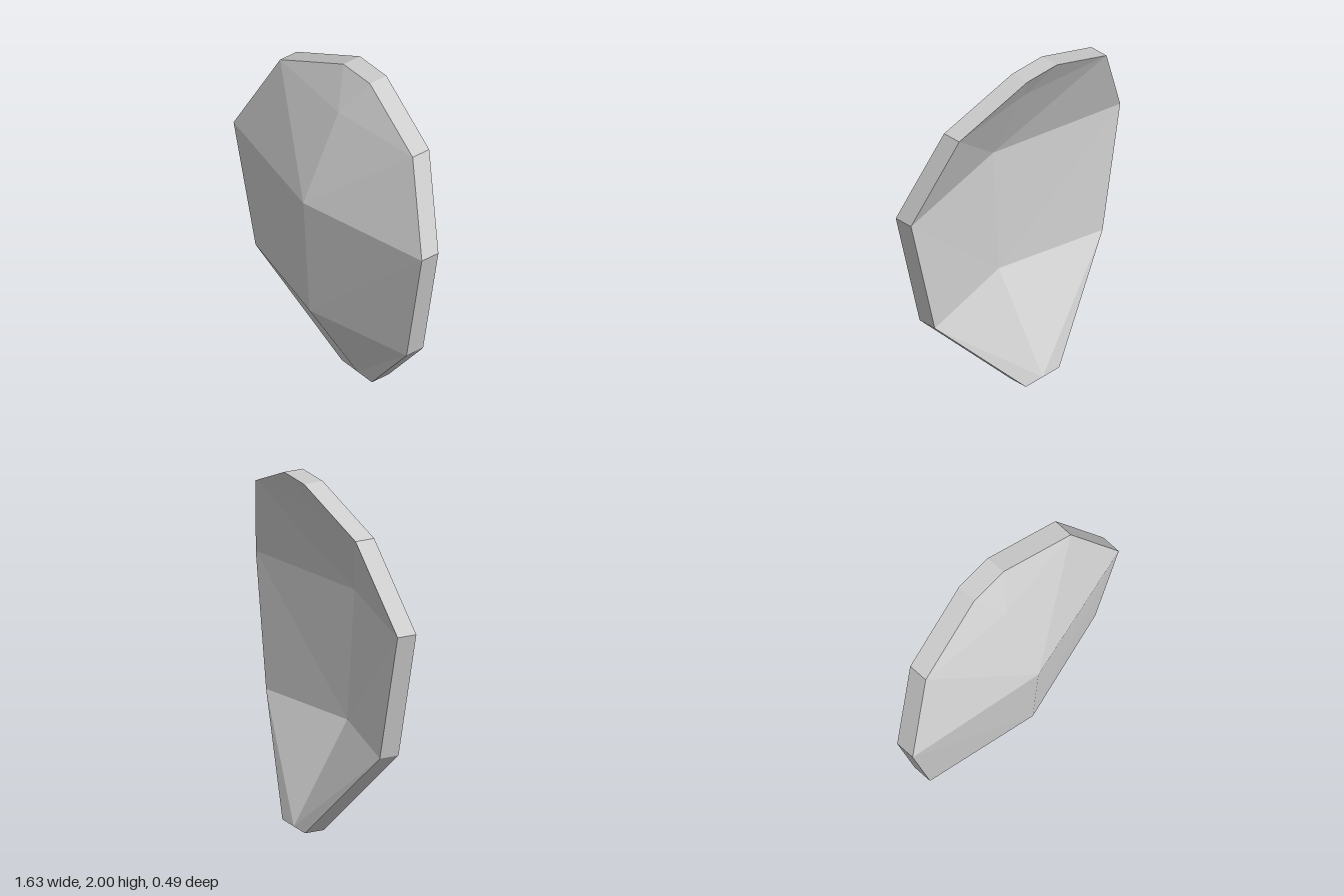
import * as THREE from 'three';

// Rows from bottom to top: height, half width, rim z, centre ridge z
const ROWS = [
  [0, 0.13, -0.13, -0.13],
  [0.56, 0.655, 0.05, 0.2],
  [1.3, 0.817, 0.073, 0.243],
  [1.8, 0.575, -0.057, 0],
  [2, 0.115, -0.128, -0.128],
];
const THICKNESS = 0.115;

// Three points per row: right rim, ridge, left rim
const grid = (dz) => ROWS.map(([y, w, rim, ridge]) =>
  [[-w, y, rim + dz], [0, y, ridge + dz], [w, y, rim + dz]]);

function facetMesh(name, triangles, material) {
  const geometry = new THREE.BufferGeometry();
  geometry.setAttribute('position', new THREE.Float32BufferAttribute(triangles.flat(2), 3));
  geometry.computeVertexNormals();
  const mesh = new THREE.Mesh(geometry, material);
  mesh.name = name;
  return mesh;
}

// Faceted shell surface; each panel splits from the ridge up to the rim
function panels(g) {
  const tris = [];
  for (let i = 0; i < g.length - 1; i++) {
    const [a, b, c] = g[i], [d, e, f] = g[i + 1];
    tris.push([a, b, d], [b, e, d], [b, c, f], [b, f, e]);
  }
  return tris;
}

// Outline, counter-clockwise as seen from the front
const outline = (g) => [
  ...g[0], ...g.slice(1).map((r) => r[2]),
  g[g.length - 1][1], ...g.slice(1).reverse().map((r) => r[0]),
];

export function createModel() {
  const grey = new THREE.MeshStandardMaterial({ color: 0xcccccc });
  grey.name = 'light grey';
  grey.flatShading = true;

  const front = grid(0), back = grid(-THICKNESS);
  const group = new THREE.Group();
  group.name = 'shield';

  // Bulging front and matching hollow back
  group.add(facetMesh('frontFace', panels(front), grey));
  group.add(facetMesh('backFace', panels(back).map(([a, b, c]) => [a, c, b]), grey));

  // Rim joining the two faces
  const f = outline(front), b = outline(back), rim = [];
  f.forEach((p, i) => {
    const j = (i + 1) % f.length;
    rim.push([p, b[i], b[j]], [p, b[j], f[j]]);
  });
  group.add(facetMesh('rim', rim, grey));
  return group;
}
